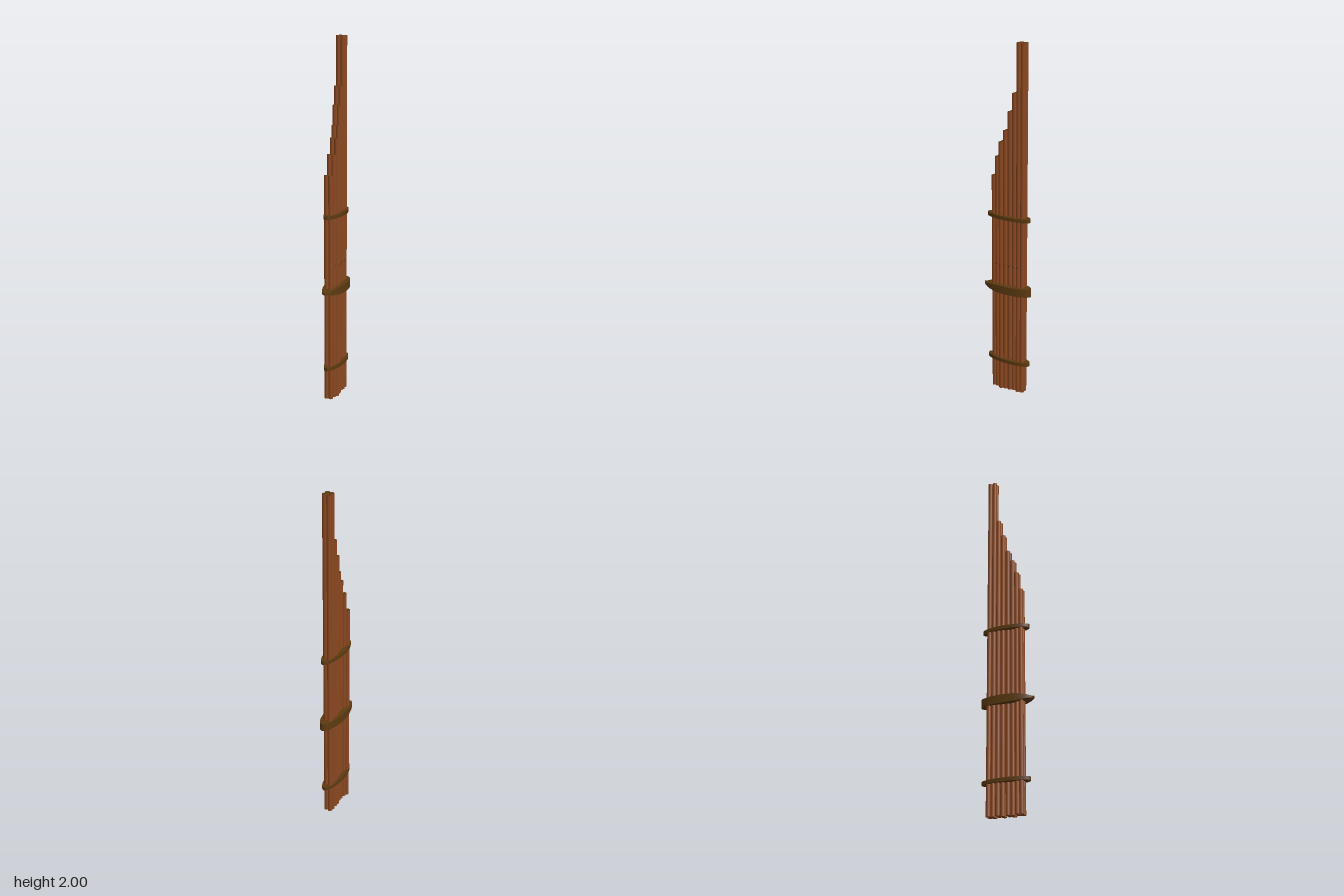
import * as THREE from 'three';
import { toCreasedNormals } from 'three/addons/utils/BufferGeometryUtils.js';

export function createModel() {
  const model = new THREE.Group();
  const bamboo = new THREE.MeshStandardMaterial({ color: 0x8b4820 });
  bamboo.name = 'bamboo';
  const darkWood = new THREE.MeshStandardMaterial({ color: 0x5c3a10 });
  darkWood.name = 'darkWood';
  const bore = new THREE.MeshStandardMaterial({ color: 0x2a1808 });
  bore.name = 'bore';

  const add = (name, geometry, material, x, y, z, parent = model) => {
    const mesh = new THREE.Mesh(geometry, material);
    mesh.name = name;
    mesh.position.set(x, y, z);
    parent.add(mesh);
    return mesh;
  };

  // Paired pipes, front to back: height and sideways offset of each pair
  const pairs = [
    [1.27, -0.006], [1.38, 0], [1.465, 0.005], [1.53, 0.002],
    [1.635, -0.004], [1.735, -0.007], [2, -0.007], [2, -0.007],
  ];
  const r = 0.0128;
  const pipes = new THREE.Group();
  pipes.name = 'pipes';
  model.add(pipes);
  pairs.forEach(([height, offset], i) => {
    const z = 0.084 - i * 0.0263;
    for (const side of [-1, 1]) {
      const bottom = i % 2 ? 0.004 : 0;
      const tube = new THREE.CylinderGeometry(r, r, height - bottom, 14);
      add('pipe', tube, [bamboo, darkWood, bamboo],
        offset + side * 0.0125, (height + bottom) / 2, z, pipes);
    }
    // Small finger hole on the left pipe
    if (i > 0 && i < 7) {
      const hole = new THREE.CylinderGeometry(0.003, 0.003, 0.002, 8).rotateZ(Math.PI / 2);
      add('fingerHole', hole, bore, offset + 0.0125 + r, 0.765, z, pipes);
    }
  });

  // Oval binding bands
  for (const y of [0.185, 1.045]) {
    const band = new THREE.CylinderGeometry(1, 1, 0.02, 48).scale(0.042, 1, 0.136);
    add('bindingBand', toCreasedNormals(band, 0.6), darkWood, -0.003, y, -0.008);
  }

  // Wind chest: oval block whose thickness tapers to a rounded front tip
  const h = 0.023;
  const profile = [];
  const rings = [0, 0.2, 0.4, 0.6, 0.8, 0.9, 1];
  for (const t of rings) profile.push(new THREE.Vector2(t, -h));
  for (const t of [...rings].reverse()) profile.push(new THREE.Vector2(t, h));
  const chest = new THREE.LatheGeometry(profile, 48).scale(0.05, 1, 0.15);
  const p = chest.attributes.position;
  for (let i = 0; i < p.count; i++) {
    const t = Math.max(0, p.getZ(i) / 0.15);
    p.setY(i, p.getY(i) * (1 - 0.85 * t * t));
  }
  add('windChest', toCreasedNormals(chest, 0.6), darkWood, 0, 0.627, -0.002);

  // Mouthpiece at the front tip
  add('mouthpiece', new THREE.CylinderGeometry(0.007, 0.007, 0.016, 12).rotateX(Math.PI / 2),
    darkWood, -0.002, 0.627, 0.143);

  return model;
}
